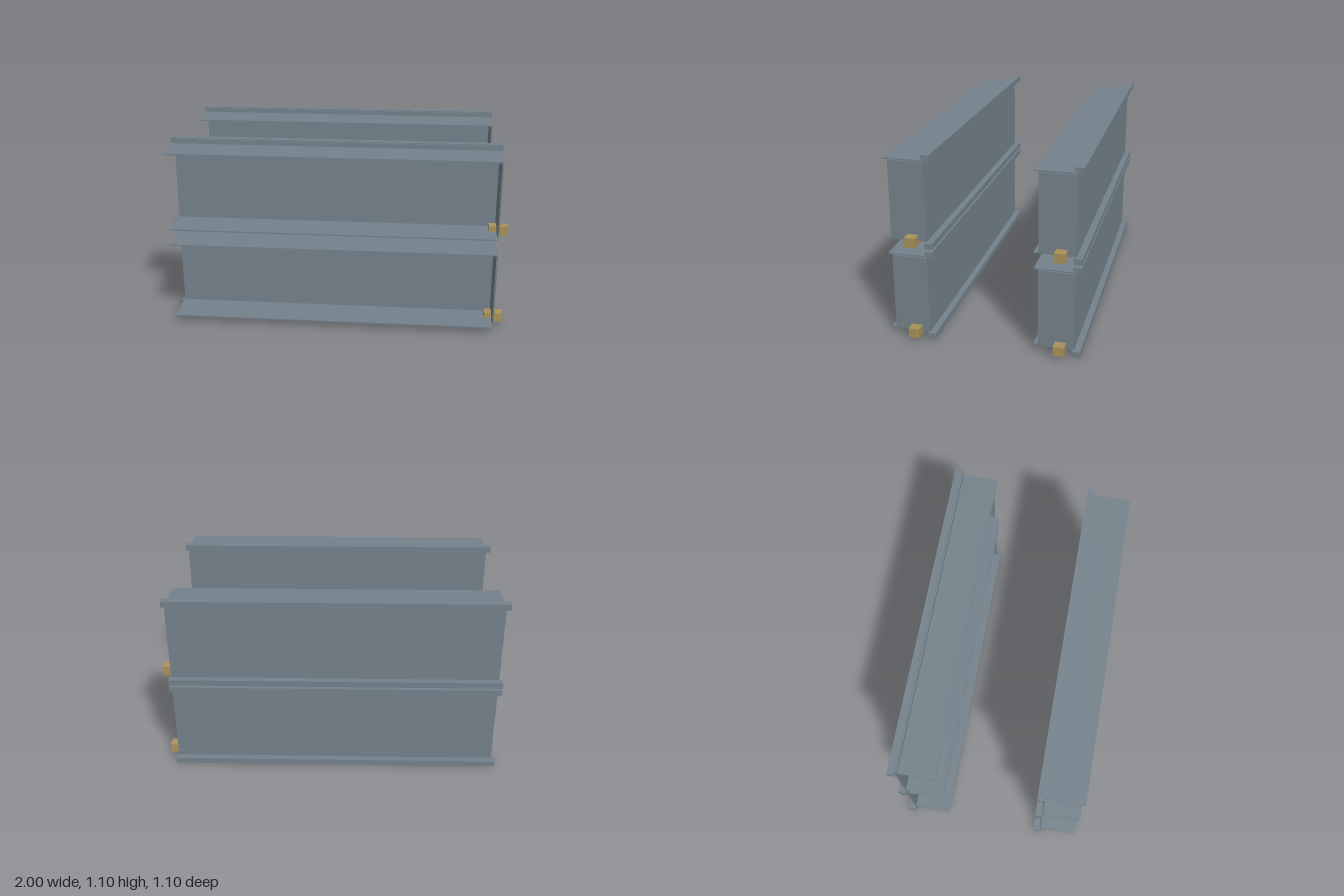
import * as THREE from 'three';

const steel = new THREE.MeshStandardMaterial({ color: 0x74828b });
steel.name = 'blue grey steel';
const brass = new THREE.MeshStandardMaterial({ color: 0xaa935c });
brass.name = 'brass';

// Box given by its low and high limits on each axis
function slab(name, material, [x0, x1], [y0, y1], [z0, z1]) {
  const mesh = new THREE.Mesh(new THREE.BoxGeometry(x1 - x0, y1 - y0, z1 - z0), material);
  mesh.position.set((x0 + x1) / 2, (y0 + y1) / 2, (z0 + z1) / 2);
  mesh.name = name;
  return mesh;
}

const HEIGHT = 0.543;

// One channel panel, with rails along its back edges and a clamp on its closed end
function createPanel() {
  const panel = new THREE.Group();
  const length = [-0.98, 0.933];
  const mirrorY = ([a, b]) => [HEIGHT - b, HEIGHT - a];

  panel.add(slab('web', steel, length, [0.045, 0.498], [0.319, 0.327]));
  panel.add(slab('endPlate', steel, [0.933, 0.942], [0.045, 0.498], [0.319, 0.523]));

  for (const [side, place] of [['lower', (r) => r], ['upper', mirrorY]]) {
    panel.add(slab(side + 'Flange', steel, length, place([0.037, 0.045]), [0.319, 0.55]));
    panel.add(slab(side + 'Rail', steel, [-1, 0.953], place([0, 0.035]), [0.283, 0.326]));
    panel.add(slab(side + 'RailLip', steel, length, place([0.005, 0.031]), [0.326, 0.335]));
  }

  // Clamp gripping the end plate and lower flange
  panel.add(slab('clamp', brass, [0.89, 1], [0.022, 0.078], [0.365, 0.426]));
  return panel;
}

export function createModel() {
  const model = new THREE.Group();
  model.name = 'panelSet';
  // Two rows, two levels
  for (const [row, z] of [['front', 0], ['back', -0.833]]) {
    for (const [level, y] of [['Lower', 0], ['Upper', 0.557]]) {
      const panel = createPanel();
      panel.name = row + level + 'Panel';
      panel.position.set(0, y, z);
      model.add(panel);
    }
  }
  return model;
}
